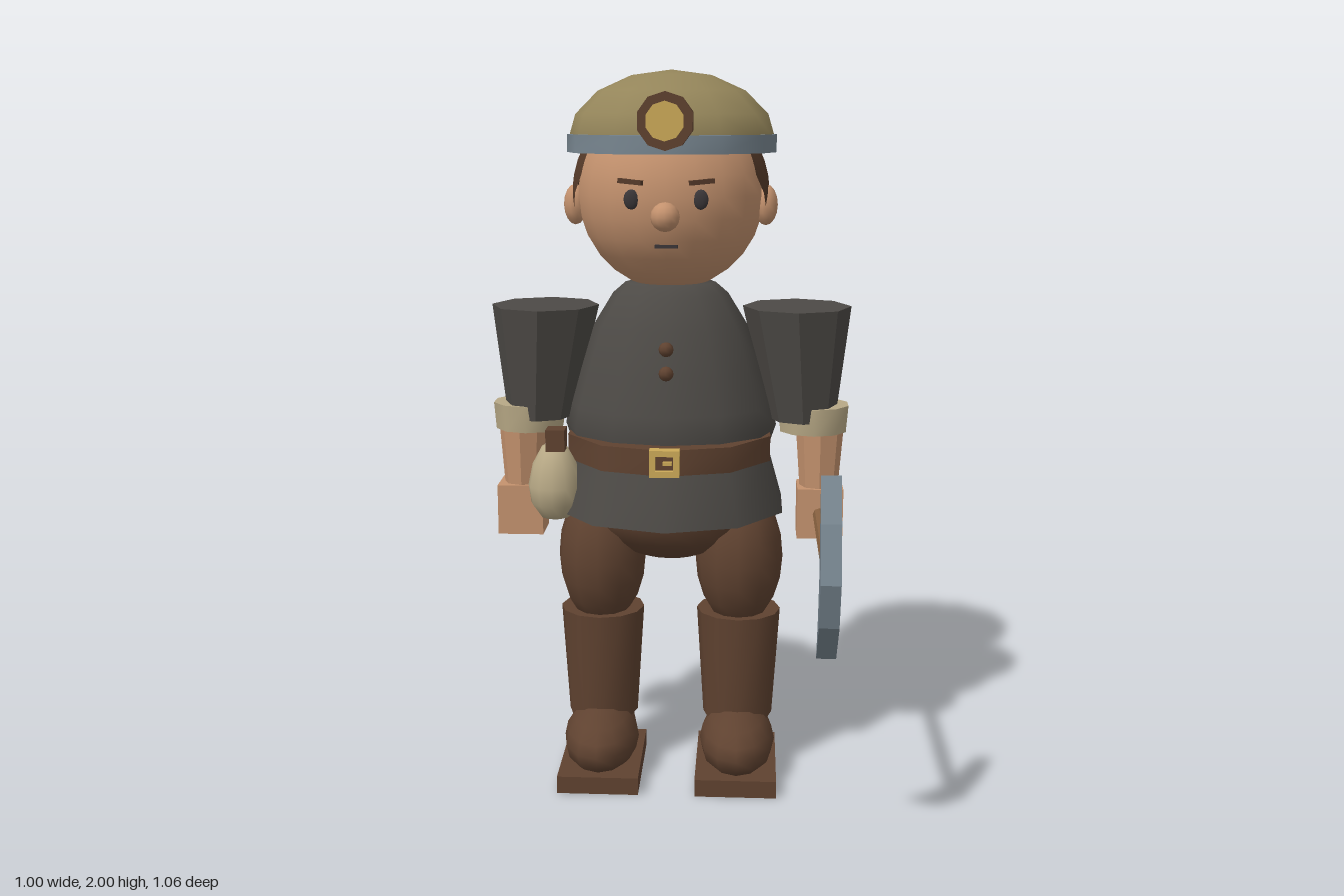
import * as THREE from 'three';
import { toCreasedNormals } from 'three/addons/utils/BufferGeometryUtils.js';

const mat = (name, color, side = THREE.FrontSide) => {
  const m = new THREE.MeshStandardMaterial({ color, side });
  m.name = name;
  return m;
};

export function createModel() {
  const model = new THREE.Group();
  model.name = 'miner';
  const skin = mat('skin', 0xc4926e);
  const hairMat = mat('hair', 0x553a29, THREE.DoubleSide);
  const cloth = mat('jacket cloth', 0x4d4a46);
  const leather = mat('leather', 0x5f4230);
  const khaki = mat('cap khaki', 0x94855a);
  const steel = mat('steel', 0x788690);
  const tan = mat('tan', 0xb8a986);
  const brass = mat('brass', 0xccaa58);
  const wood = mat('wood', 0x86603f);
  const dark = mat('eye dark', 0x3a3638);

  const add = (name, geo, material, x, y, z, parent = model) => {
    const mesh = new THREE.Mesh(geo, material);
    mesh.name = name;
    mesh.position.set(x, y, z);
    parent.add(mesh);
    return mesh;
  };
  const ball = (rx, ry, rz, w = 12, h = 8) => new THREE.SphereGeometry(1, w, h).scale(rx, ry, rz);
  const tube = (top, bottom, h, n) => toCreasedNormals(new THREE.CylinderGeometry(top, bottom, h, n), 0.7);
  const box = (w, h, d) => new THREE.BoxGeometry(w, h, d);

  // Jacket, skirt and belt
  const Z = -0.197;
  const profile = [[0, 1.43], [0.125, 1.43], [0.16, 1.4], [0.215, 1.31], [0.255, 1.19],
    [0.285, 1.09], [0.297, 1.03], [0.27, 0.95], [0, 0.95]].reverse().map(p => new THREE.Vector2(...p));
  add('jacket', toCreasedNormals(new THREE.LatheGeometry(profile, 12).scale(1, 1, 0.8), 0.9), cloth, 0, 0, Z);
  add('jacketSkirt', tube(0.285, 0.333, 0.165, 10), cloth, 0, 0.8825, Z);
  add('belt', tube(0.295, 0.295, 0.07, 10), leather, 0, 0.98, Z);
  for (const y of [1.275, 1.21]) add('button', ball(0.02, 0.02, 0.02, 8, 6), leather, 0, y, 0.032);

  // Buckle frame with a prong
  const frame = new THREE.Shape([[-0.04, -0.036], [0.04, -0.036], [0.04, 0.036], [-0.04, 0.036]].map(p => new THREE.Vector2(...p)));
  frame.holes.push(new THREE.Path([[-0.024, -0.02], [-0.024, 0.02], [0.024, 0.02], [0.024, -0.02]].map(p => new THREE.Vector2(...p))));
  add('buckle', new THREE.ExtrudeGeometry(frame, { depth: 0.035, bevelEnabled: false }), brass, 0, 0.985, 0.09);
  add('bucklePlate', box(0.05, 0.042, 0.02), leather, 0, 0.985, 0.098);
  add('buckleProng', box(0.024, 0.01, 0.025), brass, 0.008, 0.985, 0.107);

  // Hips, legs and boots
  add('hips', ball(0.25, 0.165, 0.18, 16, 10), leather, 0, 0.805, Z);
  // Arms are mirrored together with the legs
  for (const s of [1, -1]) {
    const side = s > 0 ? 'left' : 'right';
    const leg = new THREE.Group();
    leg.name = side + 'Leg';
    model.add(leg);
    add('thigh', ball(0.125, 0.21, 0.147, 12, 10), leather, s * 0.197, 0.645, Z, leg);
    add('bootShaft', tube(0.12, 0.1, 0.32, 12), leather, s * 0.197, 0.327, Z, leg);
    // Shoe: egg with a flattened bottom and a lower toe
    const shoe = ball(0.108, 0.1, 0.18, 12, 8);
    const p = shoe.attributes.position;
    for (let i = 0; i < p.count; i++) {
      if (p.getY(i) > 0) p.setY(i, p.getY(i) * (1 - p.getZ(i) * 0.9));
      p.setY(i, Math.max(p.getY(i), -0.065));
    }
    shoe.computeVertexNormals();
    add('shoe', shoe, leather, s * 0.197, 0.11, -0.133, leg);
    add('sole', box(0.23, 0.05, 0.345), leather, s * 0.195, 0.025, -0.138, leg);

    const arm = new THREE.Group();
    arm.name = side + 'Arm';
    model.add(arm);
    const sleeve = new THREE.CylinderGeometry(0.15, 0.093, 0.315, 8).scale(1, 1, 1.1);
    const q = sleeve.attributes.position;
    for (let i = 0; i < q.count; i++) if (q.getY(i) < 0) q.setX(i, q.getX(i) + s * 0.02);
    add('sleeve', toCreasedNormals(sleeve, 0.6), cloth, s * 0.35, 1.2075, Z, arm);
    add('cuff', tube(0.102, 0.096, 0.075, 10), tan, s * 0.4, 1.053, Z, arm);
    add('forearm', tube(0.068, 0.053, 0.2, 8), skin, s * 0.42, 0.94, -0.19, arm);
    add('hand', box(0.128, 0.142, 0.122), skin, s * 0.423, 0.787, -0.19, arm);
  }

  // Head and face
  const head = new THREE.Group();
  head.name = 'head';
  model.add(head);
  add('skull', ball(0.255, 0.26, 0.25, 20, 14), skin, 0, 1.67, -0.2, head);
  add('nose', ball(0.038, 0.038, 0.04), skin, 0, 1.625, 0.077, head);
  add('mouth', box(0.06, 0.009, 0.012), dark, 0, 1.545, 0.022, head);
  for (const s of [1, -1]) {
    add('ear', ball(0.032, 0.055, 0.037, 10, 8), skin, s * 0.26, 1.642, -0.18, head);
    add('eye', ball(0.02, 0.026, 0.009, 10, 8), dark, s * 0.09, 1.667, 0.035, head);
    const brow = add('eyebrow', box(0.066, 0.012, 0.02), hairMat, s * 0.092, 1.712, 0.031, head);
    brow.rotation.set(0, s * 0.35, s * 0.08);
  }

  // Hair: a shell around the back, its lower edge rising before the ears
  const cols = 28, rows = 6, pos = [], idx = [];
  for (let i = 0; i <= cols; i++) {
    const d = (i / cols * 2 - 1) * 2.07, a = Math.abs(d);
    const low = a < 1.75 ? 1.575 + 0.03 * Math.abs(Math.sin(a * 3)) : 1.62 + (a - 1.75) * 0.33;
    for (let j = 0; j <= rows; j++) {
      const h = THREE.MathUtils.lerp(0.17, low - 1.67, j / rows);
      const r = Math.sqrt(1 - (h / 0.272) ** 2);
      pos.push(Math.sin(d) * r * 0.27, 1.67 + h, -0.205 - Math.cos(d) * r * 0.265);
      if (i < cols && j < rows) {
        const k = i * (rows + 1) + j, n = k + rows + 1;
        idx.push(k, k + 1, n, n, k + 1, n + 1);
      }
    }
  }
  // Corner order is flipped so the shell faces outward
  for (let i = 0; i < idx.length; i += 3) [idx[i + 1], idx[i + 2]] = [idx[i + 2], idx[i + 1]];
  const hair = new THREE.BufferGeometry();
  hair.setAttribute('position', new THREE.Float32BufferAttribute(pos, 3));
  hair.setIndex(idx);
  hair.computeVertexNormals();
  add('hair', hair, hairMat, 0, 0, 0, head);

  // Cap with band and lamp
  const dome = new THREE.SphereGeometry(1, 12, 4, 0, Math.PI * 2, 0, Math.PI / 2).scale(0.285, 0.19, 0.245);
  add('capDome', dome, khaki, 0, 1.81, -0.227, head);
  add('capBand', tube(1, 1, 0.048, 12).scale(0.287, 1, 0.272), steel, 0, 1.805, -0.225, head);
  const disc = (r, d) => tube(r, r, d, 10).rotateX(Math.PI / 2);
  add('lampHousing', disc(0.074, 0.052), leather, 0, 1.865, 0.057, head);
  add('lampNeck', disc(0.04, 0.06), leather, 0, 1.85, 0.01, head);
  add('lampLens', disc(0.05, 0.024), brass, 0, 1.865, 0.094, head);

  // Pouch hanging from the belt
  const sack = [[0, -0.112], [0.04, -0.1], [0.068, -0.06], [0.075, -0.01], [0.062, 0.05],
    [0.035, 0.1], [0, 0.115]].map(p => new THREE.Vector2(...p));
  add('pouch', new THREE.LatheGeometry(sack, 12), tan, -0.315, 0.887, -0.075);
  add('pouchTie', box(0.052, 0.06, 0.06), leather, -0.307, 1.012, -0.05);

  // Pickaxe held in the left hand
  const pick = new THREE.Group();
  pick.name = 'pickaxe';
  model.add(pick);
  add('handle', tube(0.018, 0.018, 0.82, 8).rotateX(Math.PI / 2), wood, 0.421, 0.787, 0.067, pick);
  const blade = new THREE.Shape();
  blade.moveTo(0.425, 1.035);
  blade.lineTo(0.485, 0.93);
  blade.lineTo(0.528, 0.79);
  blade.lineTo(0.49, 0.67);
  blade.lineTo(0.39, 0.555);
  blade.lineTo(0.437, 0.68);
  blade.lineTo(0.458, 0.79);
  blade.lineTo(0.442, 0.91);
  const bladeGeo = new THREE.ExtrudeGeometry(blade, { depth: 0.05, bevelEnabled: false });
  bladeGeo.translate(0, 0, -0.025).rotateY(-Math.PI / 2);
  add('pickBlade', bladeGeo, steel, 0.421, 0, 0, pick);

  return model;
}
